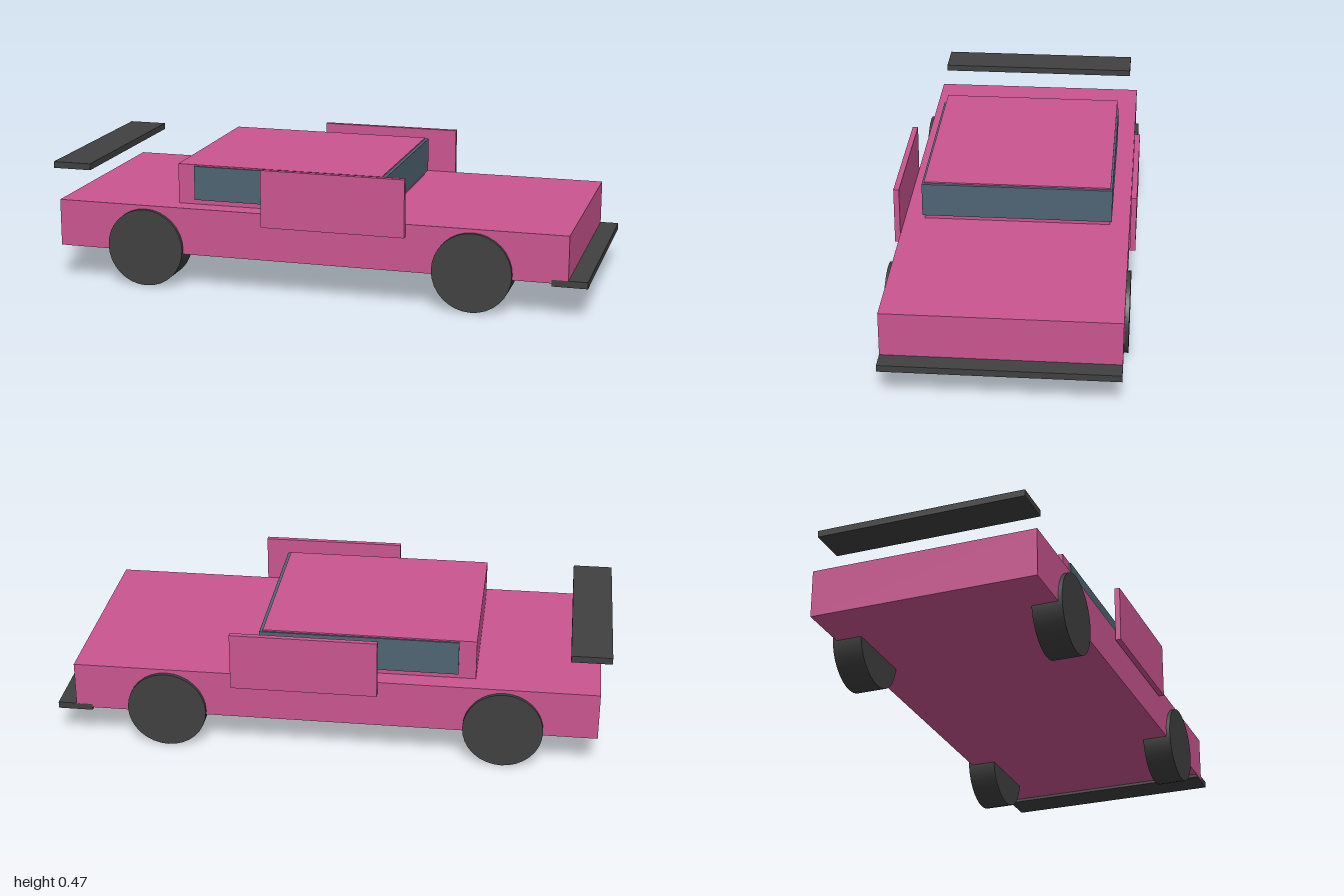
import * as THREE from 'three';

export function createModel() {
  const car = new THREE.Group();
  car.name = 'car';

  const material = (name, color) => {
    const m = new THREE.MeshStandardMaterial({ color });
    m.name = name;
    return m;
  };
  const paint = material('pink paint', 0xca5590);
  const glass = material('blue grey glass', 0x4f6473);
  const dark = material('dark grey', 0x404040);

  // Box given by its minimum and maximum on each axis
  const box = (name, mat, [x0, x1], [y0, y1], [z0, z1]) => {
    const mesh = new THREE.Mesh(new THREE.BoxGeometry(x1 - x0, y1 - y0, z1 - z0), mat);
    mesh.position.set((x0 + x1) / 2, (y0 + y1) / 2, (z0 + z1) / 2);
    mesh.name = name;
    car.add(mesh);
  };

  // Body and cabin; the glass block stands just proud of the cabin sides and front
  box('body', paint, [-0.966, 0.932], [0.127, 0.301], [-0.411, 0.411]);
  box('cabin', paint, [-0.523, 0.246], [0.295, 0.449], [-0.339, 0.339]);
  box('windows', glass, [-0.46, 0.258], [0.318, 0.444], [-0.346, 0.346]);

  // Front splitter and floating rear wing
  box('splitter', dark, [0.873, 1], [0.116, 0.14], [-0.411, 0.411]);
  box('rearWing', dark, [-1, -0.855], [0.412, 0.436], [-0.381, 0.381]);

  // Doors and wheels on both sides
  const wheelGeometry = new THREE.CylinderGeometry(0.144, 0.144, 0.109, 32).rotateX(Math.PI / 2);
  for (const [label, side] of [['front', 1], ['back', -1]]) {
    const z = [0.415 * side, 0.435 * side].sort((a, b) => a - b);
    box(`${label}SideDoor`, paint, [-0.177, 0.352], [0.256, 0.467], z);
    for (const [end, x] of [['Rear', -0.628], ['Nose', 0.592]]) {
      const wheel = new THREE.Mesh(wheelGeometry, dark);
      wheel.position.set(x, 0.144, 0.3705 * side);
      wheel.name = `${label}Side${end}Wheel`;
      car.add(wheel);
    }
  }
  return car;
}
